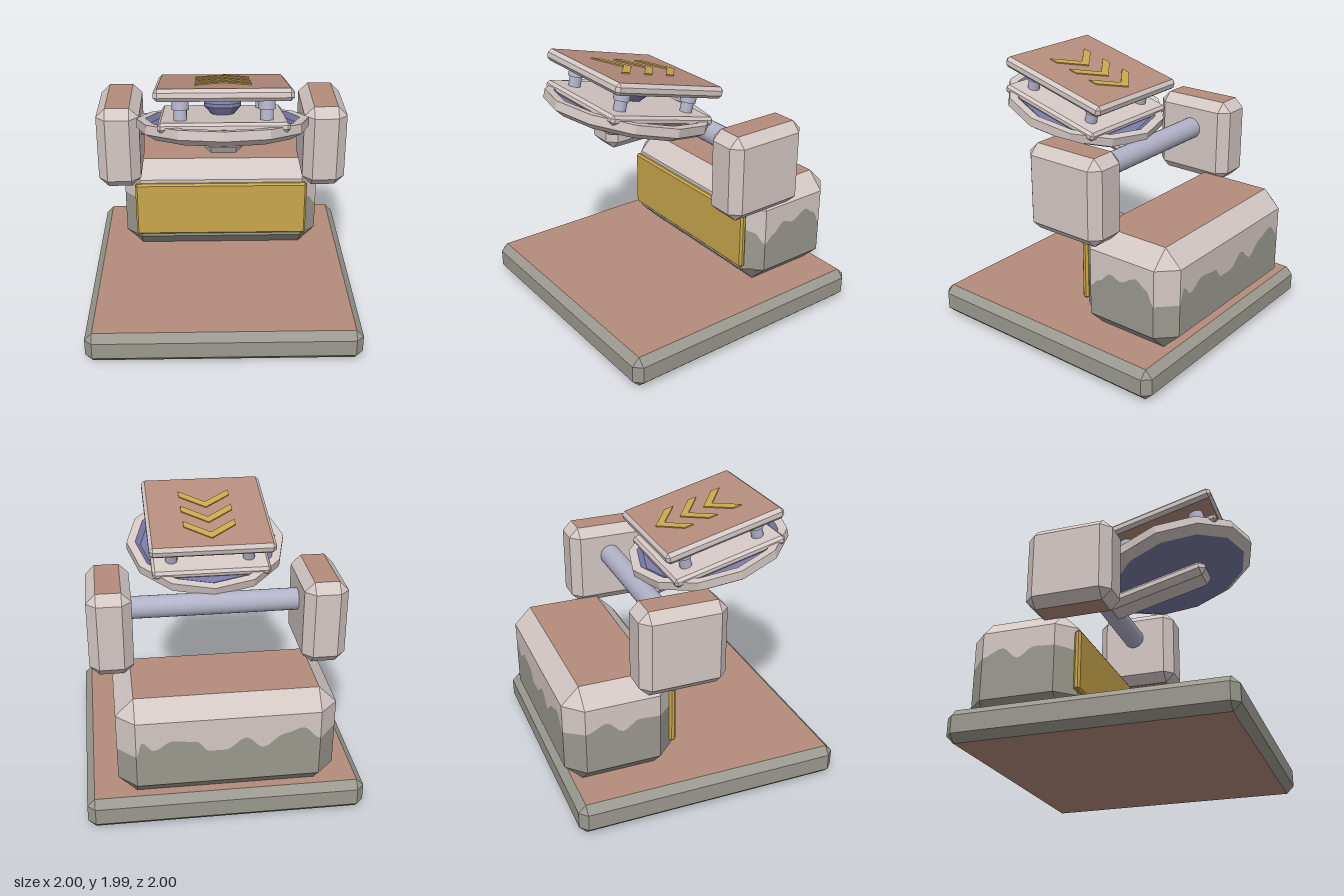
import * as THREE from 'three';
import { ConvexGeometry } from 'three/addons/geometries/ConvexGeometry.js';

const mat = (name, color) => {
  const m = new THREE.MeshStandardMaterial({ color });
  m.name = name;
  return m;
};

export function createModel() {
  const model = new THREE.Group();
  model.name = 'launcherPad';
  const clay = mat('clay brown', 0xb48c7c);
  const pale = mat('pale stone', 0xd4c8c5);
  const grey = mat('warm grey', 0x9b998f);
  const gold = mat('gold', 0xc9a74b);
  const blue = mat('slate blue', 0x7a7aa6);
  const steel = mat('light steel', 0xb2b2c8);

  const add = (parent, name, geometry, material, x = 0, y = 0, z = 0) => {
    const mesh = new THREE.Mesh(geometry, material);
    mesh.name = name;
    mesh.position.set(x, y, z);
    parent.add(mesh);
    return mesh;
  };
  const flat = (g) => {
    const out = g.index ? g.toNonIndexed() : g;
    out.computeVertexNormals();
    return out;
  };

  // Box with all edges cut; pick(ny) gives the material index of a face, or -1 to leave it out
  const chamferBox = (w, h, d, c, pick = () => 0) => {
    const pts = [];
    for (const sx of [-1, 1]) for (const sy of [-1, 1]) for (const sz of [-1, 1])
      for (let k = 0; k < 3; k++) {
        const e = [w / 2, h / 2, d / 2].map((v, i) => (i === k ? v : v - c));
        pts.push(new THREE.Vector3(sx * e[0], sy * e[1], sz * e[2]));
      }
    const hull = new ConvexGeometry(pts);
    const p = hull.attributes.position.array, n = hull.attributes.normal.array;
    const lists = [[], []];
    for (let i = 0; i < p.length; i += 9) {
      const m = pick(n[i + 1]);
      if (m >= 0) lists[m].push(...p.slice(i, i + 9));
    }
    const g = new THREE.BufferGeometry();
    g.setAttribute('position', new THREE.Float32BufferAttribute(lists.flat(), 3));
    g.addGroup(0, lists[0].length / 3, 0);
    g.addGroup(lists[0].length / 3, lists[1].length / 3, 1);
    return flat(g);
  };
  const capped = (ny) => (Math.abs(ny) > 0.99 ? 1 : 0);

  // Ground slab
  add(model, 'base', chamferBox(2, 0.235, 2, 0.055, capped), [grey, clay], 0, 0.1175, 0);

  // Rear block: bevels and top, then walls split by a wavy waterline
  add(model, 'blockUpperBevel', chamferBox(1.54, 0.765, 0.805, 0.128, (ny) => (ny > 0.99 ? 1 : ny > 0.1 ? 0 : -1)),
    [pale, clay], 0, 0.6175, -0.5975);
  add(model, 'blockLowerBevel', chamferBox(1.54, 0.765, 0.805, 0.128, (ny) => (ny < -0.1 ? 0 : -1)),
    [grey, clay], 0, 0.6175, -0.5975);
  const F = -0.195, B = -1, f = -0.323, b = -0.872, X = 0.77, x = 0.642;
  // x, z, waterline height round the block
  const wave = [
    [-x, F, 0.7], [0, F, 0.64], [x, F, 0.71], [0.7, -0.265, 0.68], [X, f, 0.59],
    [X, -0.4, 0.65], [X, -0.5, 0.73], [X, -0.59, 0.7], [X, -0.72, 0.765], [X, -0.81, 0.71], [X, b, 0.605],
    [x, B, 0.605], [0.6, B, 0.72], [0.52, B, 0.65], [0.39, B, 0.72], [0.22, B, 0.7], [0.14, B, 0.62],
    [0.02, B, 0.62], [-0.12, B, 0.71], [-0.24, B, 0.62], [-0.39, B, 0.72], [-0.52, B, 0.76], [-x, B, 0.66],
    [-X, b, 0.68], [-X, -0.72, 0.74], [-X, -0.6, 0.65], [-X, -0.48, 0.72], [-X, f, 0.71],
  ];
  const line = [];
  wave.forEach((a, i) => {
    const c = wave[(i + 1) % wave.length];
    for (let k = 0; k < 4; k++) {
      const t = k / 4, s = t * t * (3 - 2 * t);
      line.push([a[0] + (c[0] - a[0]) * t, a[1] + (c[1] - a[1]) * t, a[2] + (c[2] - a[2]) * s]);
    }
  });
  const wall = (low, high) => {
    const v = [];
    line.forEach((p, i) => {
      const q = line[(i + 1) % line.length];
      const a = [p[0], low(p), p[1]], c = [q[0], low(q), q[1]];
      const d = [q[0], high(q), q[1]], e = [p[0], high(p), p[1]];
      v.push(...a, ...c, ...d, ...a, ...d, ...e);
    });
    const g = new THREE.BufferGeometry();
    g.setAttribute('position', new THREE.Float32BufferAttribute(v, 3));
    return flat(g);
  };
  add(model, 'blockLowerWall', wall(() => 0.363, (p) => p[2]), grey);
  add(model, 'blockUpperWall', wall((p) => p[2], () => 0.872), pale);

  // Gold front panel
  add(model, 'frontPanel', chamferBox(1.36, 0.45, 0.05, 0.015), gold, 0, 0.62, -0.19);

  // Side arms and the shaft between them
  for (const s of [-1, 1])
    add(model, s > 0 ? 'leftArm' : 'rightArm', chamferBox(0.318, 0.635, 0.638, 0.07, capped), [pale, clay],
      s * 0.769, 1.2725, -0.193);
  add(model, 'shaft', new THREE.CylinderGeometry(0.082, 0.082, 1.26, 24), steel, 0, 1.355, -0.2).rotation.z = Math.PI / 2;

  // Tilted head
  const head = new THREE.Group();
  head.name = 'tiltedHead';
  head.position.set(0, 1.636, 0.352);
  head.rotation.x = -0.25;
  model.add(head);

  const lathe = (pts, sides = 12) =>
    flat(new THREE.LatheGeometry(pts.map(([r, y]) => new THREE.Vector2(r, y)), sides));
  add(head, 'dishUnderside', lathe([[0, -0.11], [0.53, -0.11]]), blue);
  add(head, 'dishRim', lathe([[0.53, -0.11], [0.605, -0.065], [0.605, 0], [0.54, 0]]), pale);
  add(head, 'dishFloor', lathe([[0.54, 0], [0.5, -0.03], [0, -0.03]]), blue);
  add(head, 'supportBar', chamferBox(0.26, 0.125, 0.84, 0.045), pale, 0, -0.155, -0.2);
  add(head, 'lowerPlate', chamferBox(0.88, 0.065, 0.88, 0.02), pale, 0, -0.002, 0);
  add(head, 'knob', lathe([[0, 0.02], [0.07, 0.02], [0.13, 0.085], [0.13, 0.11], [0.08, 0.165], [0, 0.165]]), blue);
  for (const px of [-0.29, 0.29]) for (const pz of [-0.29, 0.29]) {
    add(head, 'pillar', new THREE.CylinderGeometry(0.058, 0.058, 0.075, 16), steel, px, 0.14, pz);
    add(head, 'pillarFoot', new THREE.CylinderGeometry(0.045, 0.045, 0.09, 16), steel, px, 0.07, pz);
  }
  add(head, 'upperPlate', chamferBox(0.925, 0.085, 0.925, 0.025, capped), [pale, clay], 0, 0.215, 0);

  // Three chevrons pointing to the back
  const w = 0.192;
  const chevron = new THREE.Shape(
    [[0, 0], [-w, -0.15], [-w, -0.22], [0, -0.07], [w, -0.22], [w, -0.15]].map((p) => new THREE.Vector2(...p)));
  for (let i = 0; i < 3; i++)
    add(head, 'chevron', new THREE.ExtrudeGeometry(chevron, { depth: 0.009, bevelEnabled: false }), gold,
      0, 0.257, -0.35 + i * 0.194).rotation.x = -Math.PI / 2;

  return model;
}
